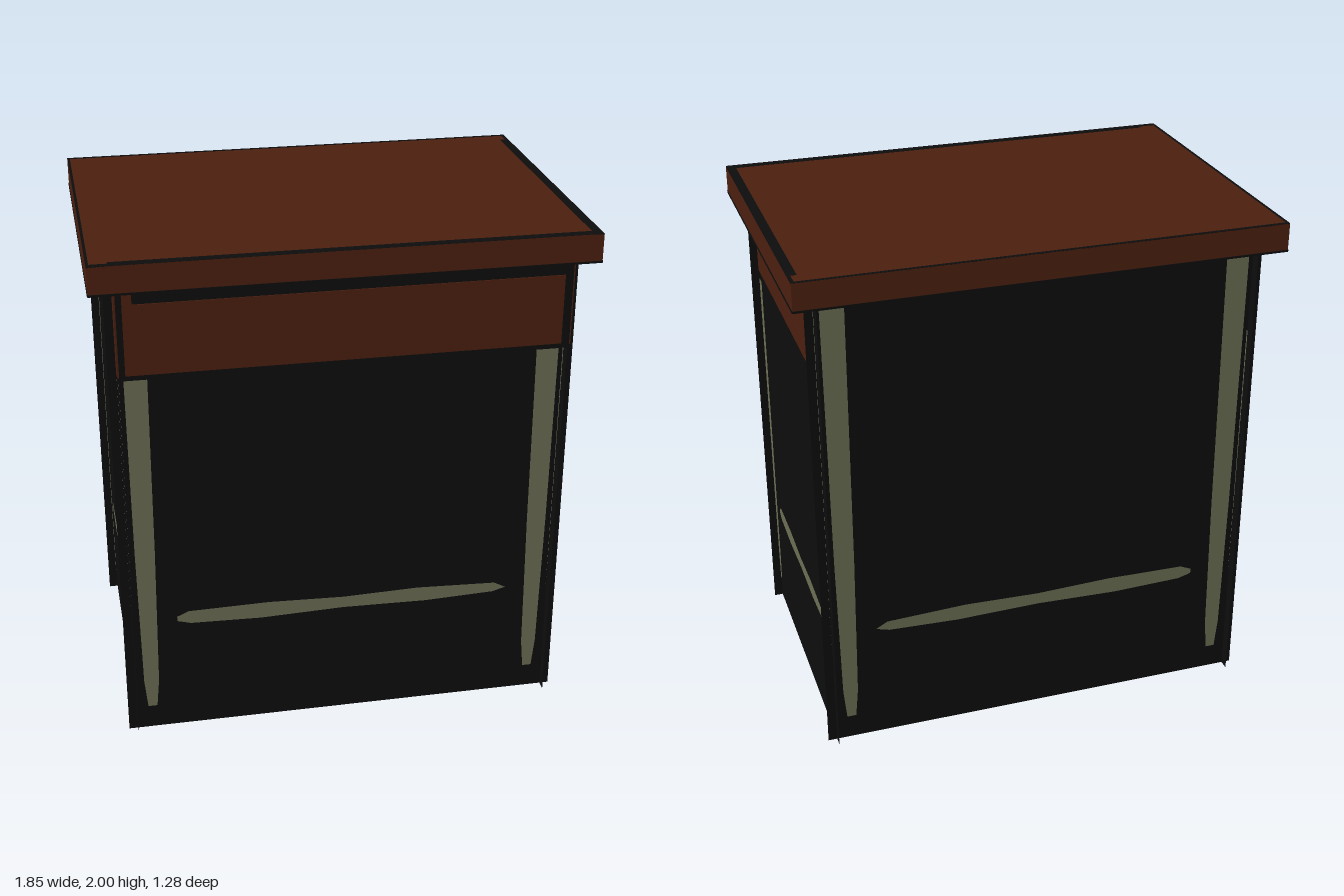
import * as THREE from 'three';

const mat = (name, color, side = THREE.FrontSide) => {
  const m = new THREE.MeshStandardMaterial({ color, side });
  m.name = name;
  return m;
};

export function createModel() {
  const wood = mat('brown wood', 0x4c200f);
  const dark = mat('dark panel', 0x0d0d0d, THREE.DoubleSide);
  const pale = mat('pale trim', 0x6c6f55, THREE.DoubleSide);
  const model = new THREE.Group();
  model.name = 'cabinet';

  // Box given by its minimum and maximum corners
  const box = (name, material, a, b, parent = model) => {
    const mesh = new THREE.Mesh(new THREE.BoxGeometry(b[0] - a[0], b[1] - a[1], b[2] - a[2]), material);
    mesh.position.set((a[0] + b[0]) / 2, (a[1] + b[1]) / 2, (a[2] + b[2]) / 2);
    mesh.name = name;
    parent.add(mesh);
    return mesh;
  };

  // Flat outline shown on both faces of a wall
  const paint = (wall, name, points) => {
    const geo = new THREE.ShapeGeometry(new THREE.Shape(points.map(p => new THREE.Vector2(...p))));
    for (const z of [-0.003, 0.003]) {
      const mesh = new THREE.Mesh(geo, pale);
      mesh.name = name;
      mesh.position.z = z;
      wall.add(mesh);
    }
  };

  // Thin wall with two tapered leg strips and a rail
  const addWall = (name, width, legX, legW, railHalf, tops) => {
    const wall = new THREE.Group();
    wall.name = name;
    const panel = new THREE.Mesh(new THREE.PlaneGeometry(width, 1.89), dark);
    panel.position.y = 0.945;
    panel.name = name + 'Panel';
    wall.add(panel);
    [-1, 1].forEach((s, i) => {
      const x = s * legX, h = legW / 2, top = tops[i];
      paint(wall, 'legStrip', [
        [x - h * 0.4, 0.1], [x + h * 0.4, 0.1], [x + h * 0.65, 0.22], [x + h * 0.85, 0.8],
        [x + h, top], [x - h, top], [x - h * 0.85, 0.8], [x - h * 0.65, 0.22],
      ]);
    });
    const r = railHalf;
    paint(wall, 'rail', [
      [-r, 0.485], [-r * 0.92, 0.47], [-r * 0.5, 0.462], [0, 0.472], [r * 0.5, 0.465], [r * 0.92, 0.475],
      [r, 0.49], [r * 0.93, 0.515], [r * 0.45, 0.528], [0, 0.52], [-r * 0.45, 0.53], [-r * 0.93, 0.525], [-r, 0.505],
    ]);
    model.add(wall);
    return wall;
  };

  // Walls cross one another slightly at the corners
  addWall('frontWall', 1.74, 0.772, 0.09, 0.66, [1.86, 1.86]).position.z = 0.545;
  addWall('backWall', 1.74, 0.772, 0.09, 0.66, [1.86, 1.86]).position.z = -0.545;
  const left = addWall('leftWall', 1.17, 0.525, 0.055, 0.44, [1.545, 1.86]);
  left.position.x = 0.835;
  left.rotation.y = Math.PI / 2;
  const right = addWall('rightWall', 1.17, 0.525, 0.055, 0.44, [1.545, 1.545]);
  right.position.x = -0.835;
  right.rotation.y = Math.PI / 2;

  // Drawer case with wooden faces inside a dark border
  box('drawerCase', dark, [-0.832, 1.55, -0.54], [0.832, 1.889, 0.609]);
  box('drawerFront', wood, [-0.81, 1.57, 0.606], [0.8, 1.84, 0.613]);
  box('drawerFrontCorner', wood, [-0.81, 1.84, 0.606], [-0.775, 1.88, 0.613]);
  box('drawerLeftFace', wood, [0.831, 1.58, -0.39], [0.839, 1.83, 0.6]);
  box('drawerRightFace', wood, [-0.839, 1.58, -0.52], [-0.831, 1.84, 0.6]);
  for (const s of [-1, 1]) {
    const x = s * 0.835;
    box('drawerSideCorner', wood, [x - 0.004, 1.56, 0.553], [x + 0.004, 1.88, 0.602]);
  }

  // Overhanging top
  box('topSlab', wood, [-0.925, 1.89, -0.64], [0.925, 1.999, 0.64]);
  // Worn dark edging on the upper face
  const edge = (x0, z0, x1, z1) => box('topEdging', dark, [x0, 1.996, z0], [x1, 2, z1]);
  edge(0.89, -0.57, 0.925, 0.64);
  edge(0.912, -0.64, 0.925, -0.57);
  edge(-0.85, 0.604, 0.89, 0.64);
  edge(-0.925, 0.618, -0.85, 0.64);
  edge(-0.925, -0.64, 0.912, -0.627);
  edge(-0.925, -0.627, -0.915, 0.618);
  // Dark line around the lower rim
  for (const s of [-1, 1]) {
    box('rimLine', dark, [-0.925, 1.889, s * 0.64 - 0.002], [0.925, 1.897, s * 0.64 + 0.002]);
    box('rimLine', dark, [s * 0.925 - 0.002, 1.889, -0.64], [s * 0.925 + 0.002, 1.897, 0.64]);
  }
  return model;
}
